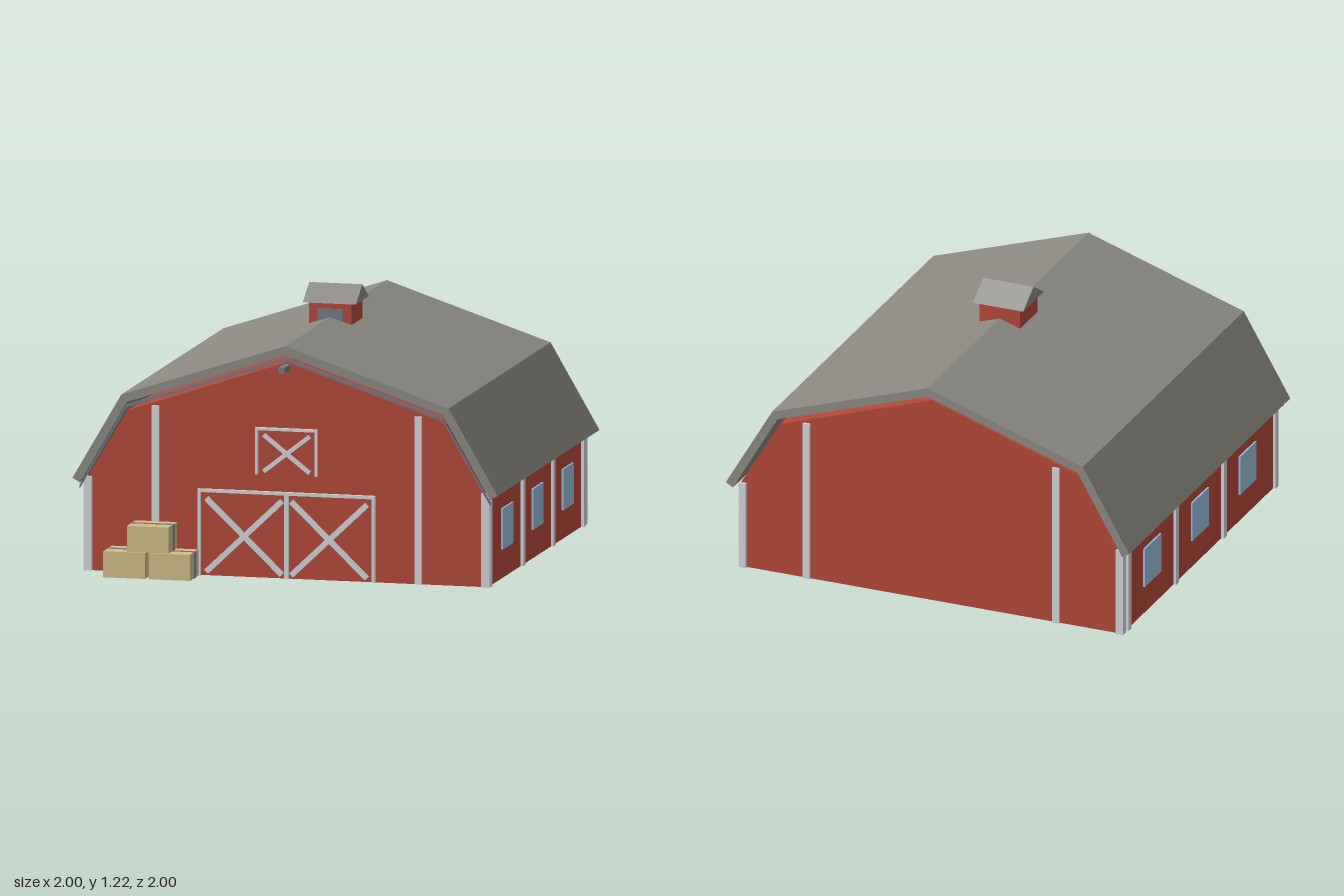
import * as THREE from 'three';

const mat = (name, color) => {
  const m = new THREE.MeshStandardMaterial({ color });
  m.name = name;
  return m;
};

export function createModel() {
  const red = mat('barnRed', 0xb24837);
  const roofGrey = mat('roofGrey', 0x8b8982);
  const trim = mat('paleTrim', 0xd2d4d9);
  const metal = mat('slateMetal', 0x747988);
  const glass = mat('windowBlue', 0x97bcd7);
  const straw = mat('straw', 0xd0bb88);

  const barn = new THREE.Group();
  barn.name = 'barn';

  const add = (name, geometry, material, parent = barn) => {
    const mesh = new THREE.Mesh(geometry, material);
    mesh.name = name;
    parent.add(mesh);
    return mesh;
  };
  // box given by its minimum and maximum on each axis
  const box = (name, material, x0, x1, y0, y1, z0, z1, parent) => {
    const mesh = add(name, new THREE.BoxGeometry(x1 - x0, y1 - y0, z1 - z0), material, parent);
    mesh.position.set((x0 + x1) / 2, (y0 + y1) / 2, (z0 + z1) / 2);
    return mesh;
  };
  // outline in x and y, extruded from z0 to z1
  const prism = (name, material, points, z0, z1) => {
    const shape = new THREE.Shape(points.map(([x, y]) => new THREE.Vector2(x, y)));
    const geo = new THREE.ExtrudeGeometry(shape, { depth: z1 - z0, bevelEnabled: false });
    geo.translate(0, 0, z0);
    return add(name, geo, material);
  };
  // half profile from eave to ridge, mirrored to a full one
  const full = (half) => [...half, ...half.slice(0, -1).reverse().map(([x, y]) => [-x, y])];
  const lower = (points, d) => points.map(([x, y]) => [x, y - d]);

  // walls and gambrel gable
  box('walls', red, -0.945, 0.945, 0, 0.42, -0.95, 0.82);
  prism('gable', red, full([[0.945, 0.42], [0.752, 0.745], [0, 1.0]]), -0.95, 0.82);

  // roof shell, floating just above the gable
  const outer = full([[1, 0.43], [0.77, 0.825], [0, 1.08]]);
  const inner = full([[0.965, 0.41], [0.743, 0.792], [0, 1.038]]);
  prism('roof', roofGrey, [...outer, ...inner.slice().reverse()], -1, 0.86);

  // thin rail following the front edge of the roof
  prism('frontRail', metal, [...lower(inner, 0.01), ...lower(inner, 0.025).reverse()], 0.855, 0.866);

  // hoist beam over the loft door
  box('hoistBeam', metal, -0.014, 0.014, 0.963, 0.991, 0.8, 0.925);

  // posts, mirrored left and right
  for (const s of [-1, 1]) {
    const post = (name, cx, w, h, z0, z1) =>
      box(name, trim, s * cx - w / 2, s * cx + w / 2, 0, h, z0, z1);
    post('frontCornerPost', 0.935, 0.036, 0.435, 0.8, 0.836);
    post('backCornerPost', 0.935, 0.036, 0.42, -0.964, -0.925);
    post('frontPost', 0.618, 0.034, 0.775, 0.81, 0.832);
    post('backPost', 0.618, 0.034, 0.775, -0.962, -0.94);
    for (const z of [0.805, 0.208, -0.342, -0.892])
      post('sidePost', 0.945, 0.026, 0.415, z - 0.017, z + 0.017);

    // side windows
    for (const z of [0.485, -0.065, -0.615])
      box('sideWindow', glass, s * 0.949 - 0.005, s * 0.949 + 0.005, 0.135, 0.325, z - 0.095, z + 0.095);
  }

  // crossed braces within a rectangle
  const cross = (name, x0, x1, y0, y1, w, z) => {
    const dx = x1 - x0, dy = y1 - y0;
    for (const s of [-1, 1]) {
      const brace = add(name, new THREE.BoxGeometry(Math.hypot(dx, dy), w, 0.012), trim);
      brace.position.set((x0 + x1) / 2, (y0 + y1) / 2, z + s * 0.0005);
      brace.rotation.z = s * Math.atan2(dy, dx);
    }
  };
  // frame open at the bottom
  const frame = (name, x0, x1, y0, y1, w) => {
    box(name, trim, x0, x0 + w, y0, y1, 0.815, 0.84);
    box(name, trim, x1 - w, x1, y0, y1, 0.815, 0.84);
    box(name, trim, x0 + w, x1 - w, y1 - w, y1, 0.815, 0.84);
  };

  // double barn doors
  box('doorPanel', red, -0.405, 0.405, 0.002, 0.39, 0.818, 0.826);
  frame('doorFrame', -0.417, 0.417, 0, 0.4, 0.014);
  box('doorMiddle', trim, -0.01, 0.01, 0, 0.386, 0.815, 0.838);
  for (const s of [-1, 1]) cross('doorBrace', s * 0.2 - 0.178, s * 0.2 + 0.178, 0.018, 0.358, 0.026, 0.829);

  // loft door
  box('loftPanel', red, -0.135, 0.135, 0.478, 0.685, 0.818, 0.826);
  frame('loftFrame', -0.146, 0.146, 0.478, 0.695, 0.012);
  cross('loftBrace', -0.108, 0.108, 0.493, 0.662, 0.02, 0.829);

  // cupola with a ridge running left to right
  box('cupola', red, -0.1, 0.1, 1.015, 1.145, -0.165, 0.035);
  box('cupolaVent', metal, -0.06, 0.06, 1.05, 1.118, 0.033, 0.041);
  const cap = prism('cupolaRoof', roofGrey, [[-0.12, 1.145], [0.12, 1.145], [0, 1.22]], -0.125, 0.125);
  cap.rotation.y = Math.PI / 2;
  cap.position.z = -0.066;

  // straw bales, each with a strap round its length
  for (const [x, y] of [[-0.721, 0], [-0.509, 0], [-0.61, 0.122]]) {
    const bale = new THREE.Group();
    bale.name = 'strawBale';
    box('baleBody', straw, -0.098, 0.098, 0.001, 0.121, 0.842, 1.0, bale);
    box('baleStrap', metal, -0.101, 0.101, 0, 0.123, 0.905, 0.925, bale);
    bale.position.set(x, y, 0);
    barn.add(bale);
  }

  return barn;
}
